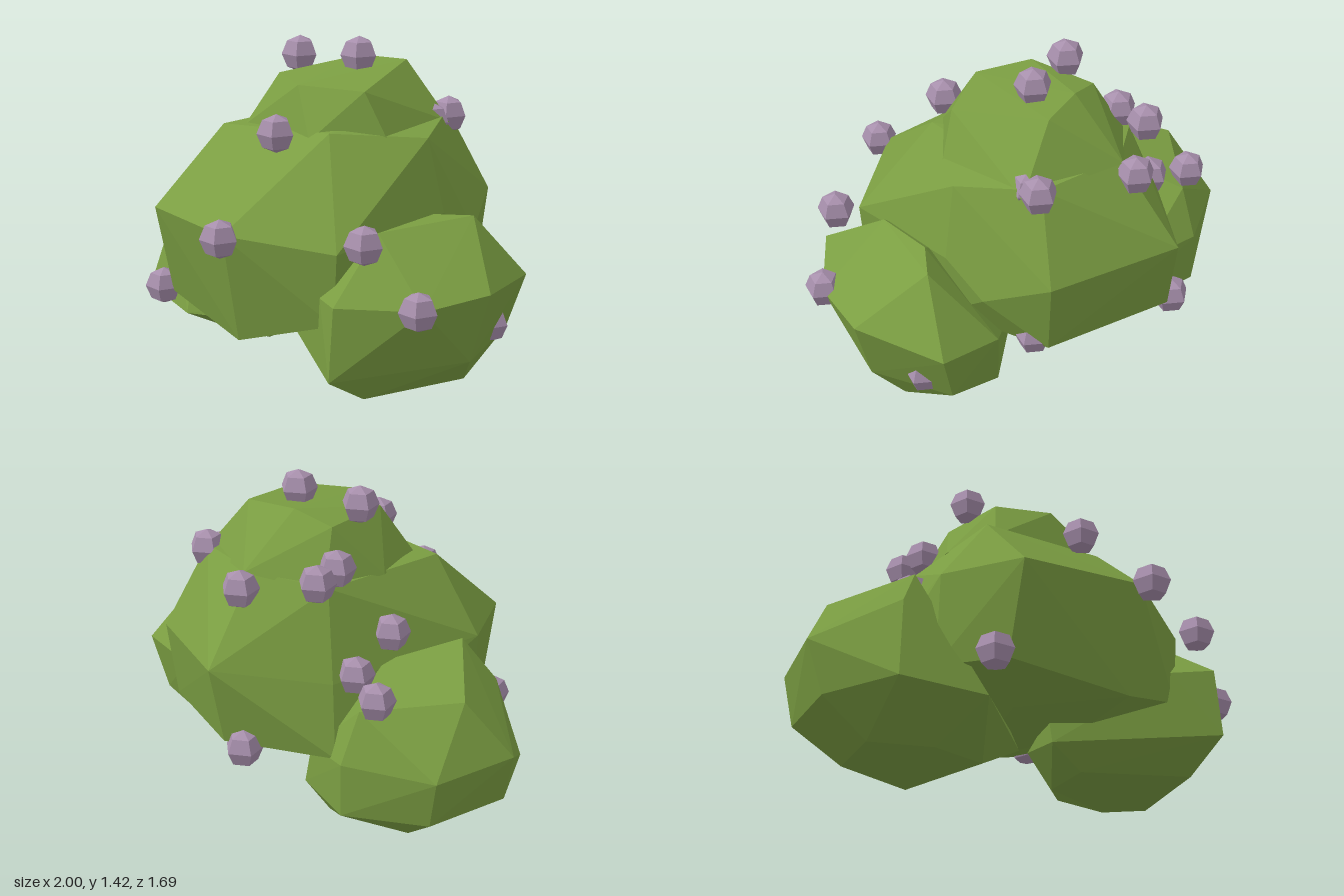
import * as THREE from 'three';
import { ConvexGeometry } from 'three/addons/geometries/ConvexGeometry.js';

const leafGreen = new THREE.MeshStandardMaterial({ color: 0x7b9e42 });
const berryPurple = new THREE.MeshStandardMaterial({ color: 0xa78fac });

// Faceted clump of foliage from its corner points
function clump(name, corners) {
  const geometry = new ConvexGeometry(corners.map((p) => new THREE.Vector3(...p)));
  const mesh = new THREE.Mesh(geometry, leafGreen);
  mesh.name = name;
  return mesh;
}

export function createModel() {
  const bush = new THREE.Group();
  bush.name = 'berryBush';

  // Large middle clump: top, widest, lower and bottom rings
  bush.add(clump('mainFoliage', [
    [-0.36, 1.03, 0.2], [0.27, 1.08, 0.28], [0.56, 1.04, -0.04], [0.44, 1.09, -0.4], [0.08, 1.1, -0.55], [-0.22, 1.05, -0.42],
    [-0.48, 0.7, 0.54], [0.04, 0.7, 0.72], [0.49, 0.65, 0.54], [0.64, 0.72, -0.05], [0.67, 0.6, -0.26],
    [0.58, 0.72, -0.54], [0.08, 0.76, -0.85], [-0.32, 0.68, -0.53], [-0.6, 0.71, 0.17],
    [-0.47, 0.29, 0.44], [0.05, 0.22, 0.63], [0.47, 0.34, 0.53], [0.6, 0.38, 0],
    [0.55, 0.38, -0.51], [0.05, 0.42, -0.8], [-0.38, 0.38, -0.6], [-0.6, 0.3, 0.15],
    [-0.2, 0.22, 0.2], [0.25, 0.22, 0.1], [0.15, 0.24, -0.4],
  ]));

  // Crown
  bush.add(clump('topFoliage', [
    [-0.16, 1.26, 0.05], [0.05, 1.25, 0.2], [0.34, 1.24, 0.12], [0.27, 1.31, -0.32], [0.04, 1.31, -0.3], [-0.14, 1.26, -0.28],
    [-0.27, 1.03, 0.16], [0.18, 1.04, 0.3], [0.44, 1.05, 0.1], [0.49, 1.05, -0.34],
    [0.1, 1.1, -0.58], [-0.2, 1.03, -0.42], [-0.3, 1.03, -0.12],
  ]));

  // Low clump on the model's left
  bush.add(clump('leftFoliage', [
    [0.65, 0.74, 0.05], [0.78, 0.73, -0.06], [0.56, 0.71, 0.34], [0.42, 0.46, 0.56],
    [1.0, 0.48, 0.17], [0.94, 0.45, -0.25], [0.66, 0.42, -0.33], [0.57, 0.48, 0.68], [0.86, 0.46, 0.46],
    [0.57, 0.17, 0.71], [0.42, 0.18, 0.55], [0.91, 0.17, 0.17], [0.86, 0.2, -0.23], [0.58, 0.11, -0.27],
    [0.04, 0.13, 0.2], [0.04, 0.25, 0.18], [0.2, 0.2, -0.1],
    [0.82, 0.04, 0.06], [0.6, 0.04, 0.5], [0.22, 0.04, 0.2], [0.3, 0.04, -0.05], [0.7, 0.04, -0.1],
  ]));

  // Low clump on the model's right
  bush.add(clump('rightFoliage', [
    [-0.61, 0.76, 0.02], [-0.4, 0.71, -0.27], [-0.82, 0.65, -0.3], [-0.48, 0.62, -0.57], [-0.74, 0.57, 0.1],
    [-1.0, 0.4, -0.19], [-0.84, 0.38, -0.54], [-0.45, 0.4, -0.66], [-0.2, 0.35, -0.52],
    [-0.83, 0.18, 0.19], [-0.48, 0.15, 0.34], [-0.04, 0.1, 0.08], [-0.01, 0.22, 0],
    [-0.94, 0.16, -0.15], [-0.8, 0.16, -0.52], [-0.45, 0.16, -0.66], [-0.15, 0.15, -0.5],
    [-0.74, 0, -0.1], [-0.5, 0, 0.05], [-0.23, 0, 0.05], [-0.23, 0, -0.43], [-0.62, 0, -0.4],
  ]));

  // Five-sided faceted berries
  const berryGeometry = new THREE.SphereGeometry(0.084, 5, 4).rotateY(Math.PI + 0.1).toNonIndexed();
  berryGeometry.computeVertexNormals();
  const berries = [
    [-0.17, 1.32, -0.12], [0.13, 1.34, -0.15], [0.06, 1.07, 0.37], [0.06, 0.7, 0.76],
    [0.63, 0.72, 0.55], [0.84, 0.46, 0.47], [-0.535, 0.3, 0.43], [-0.03, 0.4, -0.77],
    [0.08, 1.05, -0.63], [0.45, 1.07, -0.39], [0.41, 1.05, -0.31], [0.53, 0.4, -0.42],
    [0.86, 0.26, -0.08], [-0.22, 1.1, -0.5], [-0.22, 1.12, -0.36], [-0.41, 0.83, -0.23],
    [-0.38, 0.71, -0.45], [-0.55, 0.68, -0.55],
  ];
  const berryGroup = new THREE.Group();
  berryGroup.name = 'berries';
  for (const position of berries) {
    const berry = new THREE.Mesh(berryGeometry, berryPurple);
    berry.name = 'berry';
    berry.position.set(...position);
    berryGroup.add(berry);
  }
  bush.add(berryGroup);
  return bush;
}
